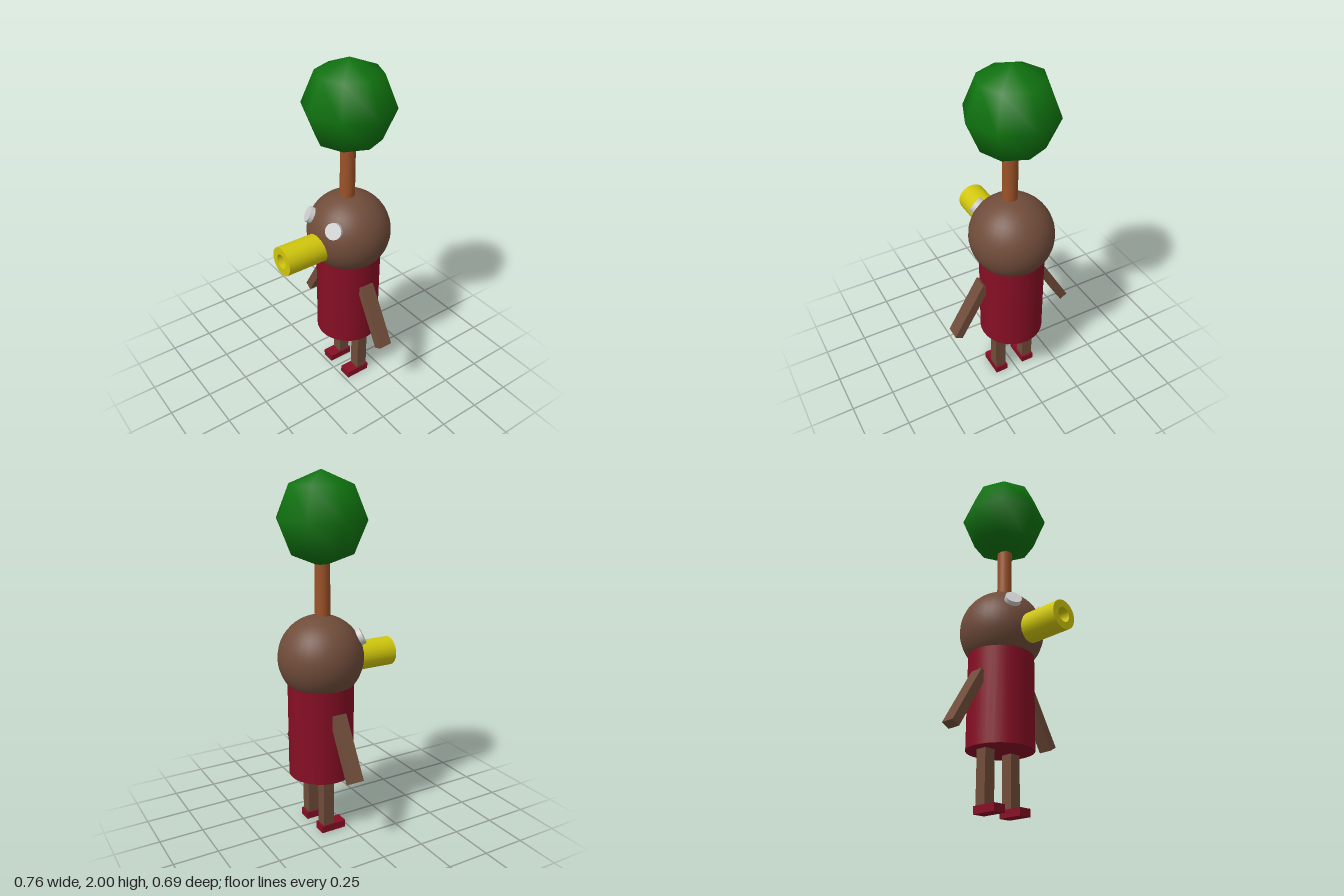
import * as THREE from 'three';

const mat = (name, color) => {
  const m = new THREE.MeshStandardMaterial({ color });
  m.name = name;
  return m;
};

export function createModel() {
  const model = new THREE.Group();
  const brown = mat('brown skin', 0x704c3a);
  const red = mat('dark red', 0x860e24);
  const bark = mat('bark', 0x9c5228);
  const green = mat('leaf green', 0x0f720f);
  const yellow = mat('beak yellow', 0xd0c60c);
  const grey = mat('eye grey', 0xd0d0d0);

  const add = (name, geometry, material, x, y, z) => {
    const mesh = new THREE.Mesh(geometry, material);
    mesh.name = name;
    mesh.position.set(x, y, z);
    model.add(mesh);
    return mesh;
  };

  // Body and head
  const head = new THREE.Vector3(-0.004, 1.011, -0.106);
  add('body', new THREE.CylinderGeometry(0.184, 0.184, 0.54, 32), red, -0.005, 0.6, -0.108);
  add('head', new THREE.SphereGeometry(0.237, 32, 24), brown, head.x, head.y, head.z);

  // Tree on the head
  add('trunk', new THREE.CylinderGeometry(0.042, 0.042, 0.36, 24), bark, 0, 1.38, -0.091);
  add('foliage', new THREE.SphereGeometry(0.249, 8, 4), green, -0.003, 1.755, -0.096);

  // Hollow beak: outer wall, rim, bore and bore floor, turned to face forward
  const walls = [
    [[0.083, 0], [0.083, 0.3]],
    [[0.083, 0.3], [0.042, 0.3]],
    [[0.042, 0.3], [0.042, 0.21]],
    [[0.042, 0.21], [0, 0.21]],
  ];
  const beak = new THREE.Group();
  beak.name = 'beak';
  ['beakWall', 'beakRim', 'beakBore', 'beakBoreFloor'].forEach((name, i) => {
    const points = walls[i].map(([r, h]) => new THREE.Vector2(r, h));
    const mesh = new THREE.Mesh(new THREE.LatheGeometry(points, 24), yellow);
    mesh.name = name;
    beak.add(mesh);
  });
  beak.rotation.x = Math.PI / 2;
  beak.position.set(0.008, 0.979, 0.047);
  model.add(beak);

  // Eyes: short discs pointing straight out of the head
  const up = new THREE.Vector3(0, 1, 0);
  for (const [name, x, y] of [['rightEye', -0.106, 0.117], ['leftEye', 0.125, 0.123]]) {
    const out = new THREE.Vector3(x, y, 0.2).normalize();
    const p = out.clone().multiplyScalar(0.236).add(head);
    add(name, new THREE.CylinderGeometry(0.046, 0.046, 0.045, 24), grey, p.x, p.y, p.z)
      .quaternion.setFromUnitVectors(up, out);
  }

  // Limbs
  for (const [side, s] of [['left', 1], ['right', -1]]) {
    add(side + 'Arm', new THREE.BoxGeometry(0.051, 0.37, 0.081), brown,
      s * 0.264 - 0.002, 0.562, -0.097).rotation.z = s * Math.PI / 6;
    add(side + 'Leg', new THREE.BoxGeometry(0.066, 0.32, 0.066), brown, s * 0.092, 0.195, -0.126);
    add(side + 'Foot', new THREE.BoxGeometry(0.075, 0.042, 0.15), red, s * 0.091, 0.021, -0.096);
  }
  return model;
}
